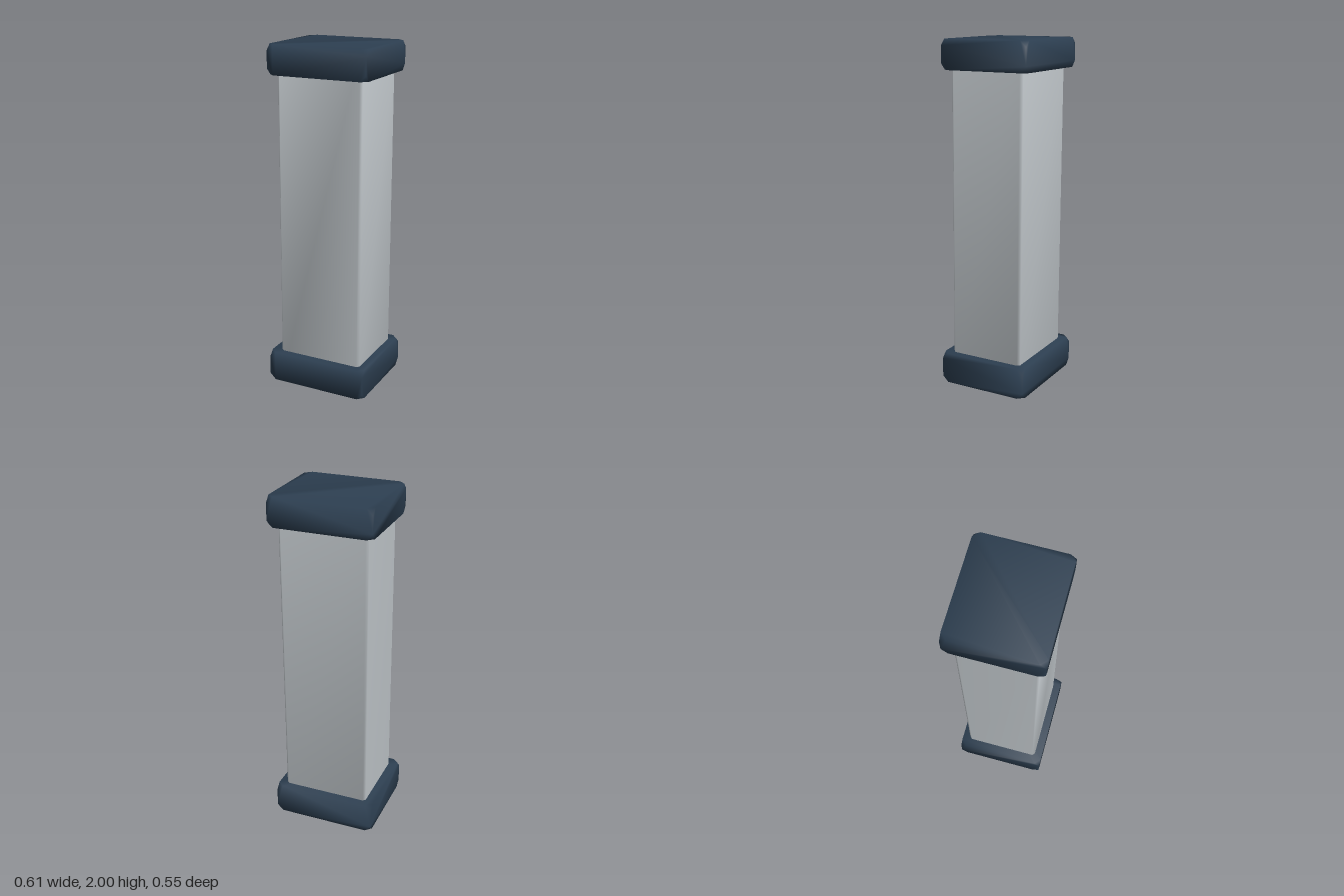
import * as THREE from 'three';
import { mergeVertices } from 'three/addons/utils/BufferGeometryUtils.js';
import { ConvexGeometry } from 'three/addons/geometries/ConvexGeometry.js';

// Box whose eight corner points are cut off, with shared smooth normals
function cutCornerBox(w, h, d, cut) {
  const points = [];
  for (const sx of [-1, 1]) for (const sy of [-1, 1]) for (const sz of [-1, 1]) {
    for (let axis = 0; axis < 3; axis++) {
      const p = [w / 2, h / 2, d / 2];
      p[axis] -= cut;
      points.push(new THREE.Vector3(sx * p[0], sy * p[1], sz * p[2]));
    }
  }
  const geo = new ConvexGeometry(points);
  geo.deleteAttribute('normal');
  const smooth = mergeVertices(geo, 1e-4);
  smooth.computeVertexNormals();
  return smooth;
}

// Square shaft with narrow chamfers, leaning slightly from bottom to top
function shaftGeometry(w, d, y0, y1, z0, z1, c) {
  const x = w / 2, z = d / 2;
  const ring = [
    [-x + c, z], [x - c, z], [x, z - c], [x, -z + c],
    [x - c, -z], [-x + c, -z], [-x, -z + c], [-x, z - c],
  ];
  const positions = [], index = [];
  for (const [y, shift] of [[y0, z0], [y1, z1]]) {
    for (const [px, pz] of ring) positions.push(px, y, pz + shift);
  }
  for (let i = 0; i < 8; i++) {
    const j = (i + 1) % 8;
    index.push(i, j, j + 8, i, j + 8, i + 8);
  }
  // end faces
  for (let i = 1; i < 7; i++) index.push(0, i + 1, i, 8, 8 + i, 9 + i);
  const geo = new THREE.BufferGeometry();
  geo.setAttribute('position', new THREE.Float32BufferAttribute(positions, 3));
  geo.setIndex(index);
  geo.computeVertexNormals();
  return geo;
}

export function createModel() {
  const model = new THREE.Group();
  model.name = 'pillar';
  const navy = new THREE.MeshStandardMaterial({ color: 0x2c3e50 });
  navy.name = 'dark navy';
  const silver = new THREE.MeshStandardMaterial({ color: 0xbdc3c7 });
  silver.name = 'silver grey';

  const add = (name, geo, mat, x, y, z) => {
    const mesh = new THREE.Mesh(geo, mat);
    mesh.name = name;
    mesh.position.set(x, y, z);
    model.add(mesh);
  };

  // Shaft, its ends hidden inside the caps
  add('shaft', shaftGeometry(0.513, 0.443, 0.03, 1.97, 0.006, -0.009, 0.015), silver, 0.003, 0, 0);
  // Base and top blocks
  add('baseCap', cutCornerBox(0.608, 0.18, 0.534, 0.035), navy, -0.001, 0.09, 0.005);
  add('topCap', cutCornerBox(0.593, 0.167, 0.525, 0.035), navy, 0.003, 1.9165, -0.012);
  return model;
}
